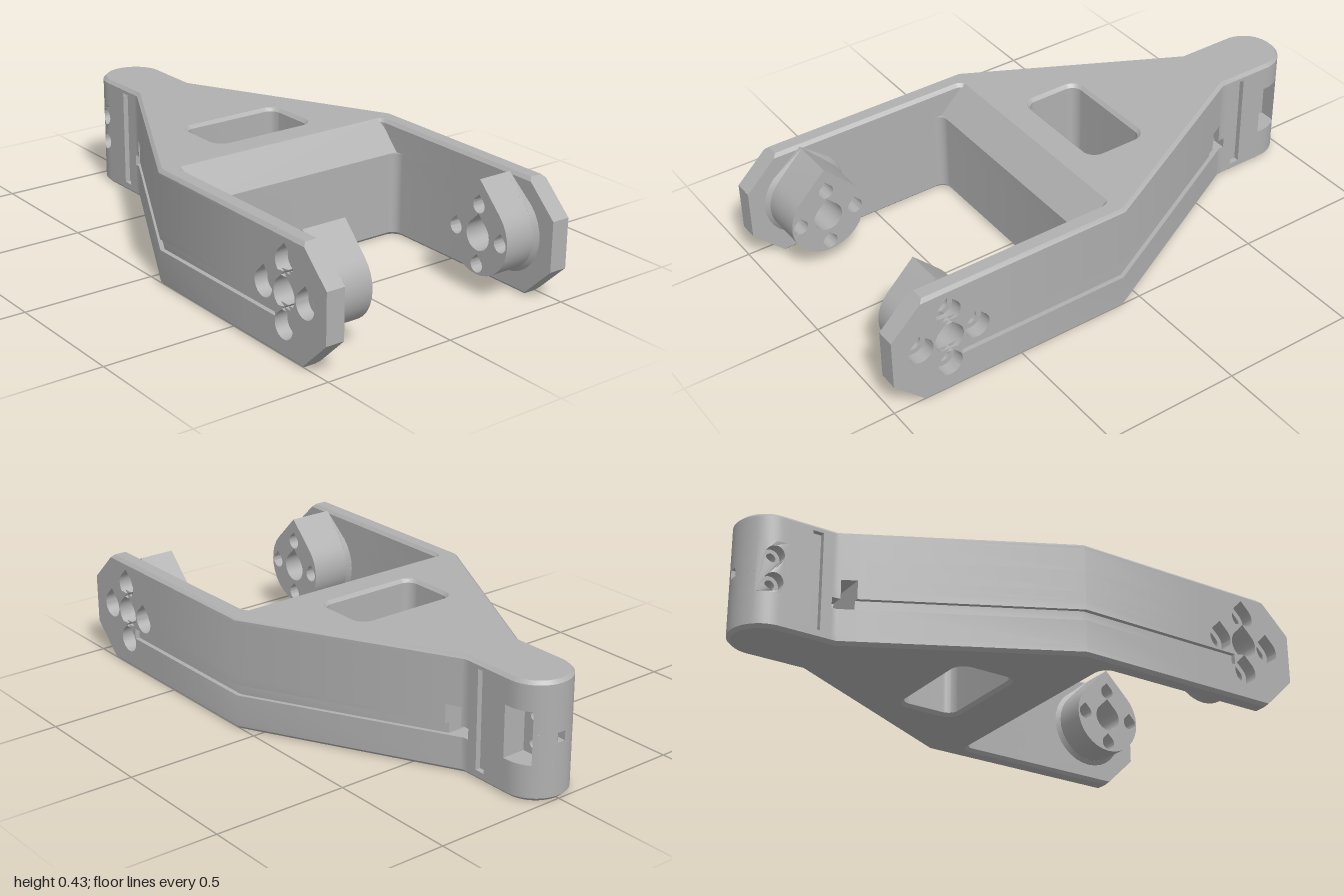
import * as THREE from 'three';
import { mergeGeometries, toCreasedNormals } from 'three/addons/utils/BufferGeometryUtils.js';

const V = (x, y) => new THREE.Vector2(x, y);
const TOP = 0.425, BEVEL = 0.012;
const HUB = [0.785, 0.22];

// Half width of the plan at x
function halfWidth(x) {
  if (x < -0.88) return Math.sqrt(Math.max(0, 0.0144 - (x + 0.88) ** 2));
  if (x < -0.67) return 0.12;
  return x < 0.08 ? 0.12 + (0.39 * (x + 0.67)) / 0.75 : 0.51;
}

// x positions needed to follow the plan between a and b
function stations(a, b) {
  const xs = [-0.67, 0.08];
  for (let i = 1; i <= 16; i++) xs.push(-0.88 - 0.12 * Math.cos((i * Math.PI) / 32));
  return [a, ...xs.filter((x) => x > a + 1e-4 && x < b - 1e-4), b].sort((p, q) => p - q);
}

function windowHole() {
  const p = new THREE.Path(), [x0, x1, z, r] = [-0.23, -0.01, 0.2, 0.04];
  p.absarc(x1 - r, z - r, r, 0, Math.PI / 2);
  p.absarc(x0 + r, z - r, r, Math.PI / 2, Math.PI);
  p.absarc(x0 + r, -z + r, r, Math.PI, 1.5 * Math.PI);
  p.absarc(x1 - r, -z + r, r, 1.5 * Math.PI, 2 * Math.PI);
  return p;
}

// Plan shape from a to b, sides cut in by cut, fork opening starting at open
function planShapes(a, b, { cut = 0, open = 0.2, inner = 0 } = {}) {
  const side = stations(a, b).map((x) => V(x, Math.max(halfWidth(x) - cut, inner)));
  if (inner) {
    return [1, -1].map((s) => new THREE.Shape([
      ...side.map((p) => V(p.x, s * (p.y + 0.0005))), V(b, s * inner), V(a, s * inner)]));
  }
  const pts = [...side];
  if (b > 0.2) {
    const r = 0.035, corner = [];
    for (let i = 0; i <= 6; i++) {
      const t = (i * Math.PI) / 12;
      corner.push(V(open + r - r * Math.sin(t), 0.44 - r + r * Math.cos(t)));
    }
    const half = [V(b, 0.44), ...corner];
    pts.push(...half, ...half.map((p) => V(p.x, -p.y)).reverse());
  }
  pts.push(...side.map((p) => V(p.x, -p.y)).reverse());
  if (a === -1) pts.pop();
  const shape = new THREE.Shape(pts);
  if (a < -0.23 && b > 0) shape.holes.push(windowHole());
  return [shape];
}

// Upright slab between two heights
const slab = (shape, y0, y1) => new THREE.ExtrudeGeometry(shape, { depth: y1 - y0, bevelEnabled: false, curveSegments: 6 })
  .rotateX(-Math.PI / 2).translate(0, y0, 0);

// Slab with chamfered rims
const rimSlab = (shape, y0) => new THREE.ExtrudeGeometry(shape, {
  depth: 0.0005, bevelThickness: BEVEL, bevelSize: BEVEL, bevelOffset: -BEVEL, bevelSegments: 1, curveSegments: 6,
}).rotateX(-Math.PI / 2).translate(0, y0 + BEVEL, 0);

// Solid between two depths
const prism = (shape, za, zb) => new THREE.ExtrudeGeometry(shape, { depth: Math.abs(zb - za), bevelEnabled: false, curveSegments: 12 })
  .translate(0, 0, Math.min(za, zb));

// Round outline with a 45 degree peak on top
function teardrop(cx, cy, r) {
  const pts = [V(cx, cy + r * Math.SQRT2)];
  for (let i = 0; i <= 24; i++) {
    const t = Math.PI * (0.75 + (1.5 * i) / 24);
    pts.push(V(cx + r * Math.cos(t), cy + r * Math.sin(t)));
  }
  return pts;
}

// Centre hole plus four screw holes of radius r
function hubHoles(r) {
  const [x, y] = HUB, d = 0.108;
  return [teardrop(x, y, 0.055), ...[[d, 0], [-d, 0], [0, d], [0, -d]].map(([u, v]) => teardrop(x + u, y + v, r))]
    .map((p) => new THREE.Path(p));
}

export function createModel() {
  const group = new THREE.Group();
  const grey = new THREE.MeshStandardMaterial({ color: 0xb0b0b0 });
  grey.name = 'machined grey';
  const add = (name, geos) => {
    const mesh = new THREE.Mesh(toCreasedNormals(mergeGeometries(geos), 0.5), grey);
    mesh.name = name;
    group.add(mesh);
  };

  // Forked body: stacked slabs carrying the side slots, wire channel and nose pocket
  const body = [];
  const ys = [BEVEL, 0.035, 0.13, 0.17, 0.205, 0.24, 0.32, 0.4, TOP - BEVEL];
  const xs = [-1, -0.96, -0.86, -0.77, -0.73, -0.69, -0.66, -0.61, 0.58];
  for (let j = 0; j < ys.length - 1; j++) {
    const m = (ys[j] + ys[j + 1]) / 2;
    const within = (lo, hi) => m > lo && m < hi;
    const channel = within(0.13, 0.17);
    for (let i = 0; i < xs.length - 1; i++) {
      if (i === 1 && within(0.13, 0.32)) continue; // nose pocket
      if (i === 6 && within(0.13, 0.24)) continue; // wire passage
      const opt = { open: m > 0.32 ? 0.1 : 0.2 };
      if (i === 0 && within(0.205, 0.24)) opt.inner = 0.016; // tip hole
      if (i === 3 && within(0.035, 0.4)) opt.cut = 0.02; // strap slot
      if (i === 5 && channel) opt.cut = 0.05;
      if (i === 7 && channel) opt.cut = 0.017;
      for (const s of planShapes(xs[i], xs[i + 1], opt)) body.push(slab(s, ys[j], ys[j + 1]));
    }
  }
  add('forkBody', body);

  // Chamfered top and bottom rims
  add('topRim', [rimSlab(planShapes(-1, 0.887, { open: 0.1 })[0], TOP - 2 * BEVEL - 0.0005)]);
  add('bottomRim', [rimSlab(planShapes(-1, 0.887)[0], 0)]);

  // Sloped edge of the crossbar
  add('crossbarSlope', [prism(new THREE.Shape([V(0.08, 0.32), V(0.2, 0.32), V(0.1, 0.4248), V(0.08, 0.4248)]), -0.445, 0.445)]);

  // Nose block with two stepped screw holes, open pocket behind
  const noseBlock = (r) => {
    const row = stations(-0.96, -0.86);
    const s = new THREE.Shape([...row.map((x) => V(x, 0.13)), ...row.map((x) => V(x, 0.32)).reverse()]);
    for (const y of [0.17, 0.27]) s.holes.push(new THREE.Path().absarc(-0.905, y, r, 0, Math.PI * 2));
    return s;
  };
  const noseFront = prism(noseBlock(0.033), 0.08, 0.12);
  const np = noseFront.attributes.position;
  for (let i = 0; i < np.count; i++) if (np.getZ(i) > 0.1) np.setZ(i, halfWidth(np.getX(i)));
  noseFront.computeVertexNormals();
  add('noseBlock', [noseFront, prism(noseBlock(0.018), -0.03, 0.08)]);

  // Arm ends and bosses
  const armEnd = (r, channel) => {
    const pts = [V(0.58, 0.012), V(0.887, 0.012), V(1, 0.122), V(1, 0.305), V(0.887, 0.413), V(0.58, 0.413)];
    if (channel) pts.push(V(0.58, 0.17), V(0.738, 0.17), V(0.738, 0.13), V(0.58, 0.13));
    const s = new THREE.Shape(pts);
    s.holes.push(...hubHoles(r));
    return s;
  };
  for (const [side, s, inner] of [['front', 1, 0.27], ['back', -1, 0.305]]) {
    add(side + 'ArmEnd', [
      prism(armEnd(0.028, false), s * 0.44, s * 0.46),
      prism(armEnd(0.047, false), s * 0.46, s * 0.493),
      prism(armEnd(0.047, true), s * 0.493, s * 0.51),
    ]);

    const boss = new THREE.Shape(teardrop(...HUB, 0.1425));
    boss.holes.push(...hubHoles(0.028));

    // Flare where the boss meets the arm
    const ring = new THREE.Shape(teardrop(...HUB, 0.157));
    ring.holes.push(new THREE.Path(teardrop(...HUB, 0.14)));
    const flare = prism(ring, s * 0.426, s * 0.44);
    const p = flare.attributes.position;
    for (let i = 0; i < p.count; i++) {
      const dx = p.getX(i) - HUB[0], dy = p.getY(i) - HUB[1];
      const k = Math.abs(p.getZ(i)) < 0.43 && Math.hypot(dx, dy) > 0.15 && !(Math.abs(dx) < 1e-4 && dy > 0 && dy < 0.2)
        ? 0.1426 / 0.157 : 1;
      const isHolePeak = Math.abs(dx) < 1e-4 && dy > 0 && dy < 0.2;
      p.setXY(i, HUB[0] + dx * k, Math.min(HUB[1] + dy * k, isHolePeak ? 0.41 : 0.422));
    }
    flare.computeVertexNormals();
    add(side + 'Boss', [prism(boss, s * inner, s * 0.44), flare]);
  }
  return group;
}
